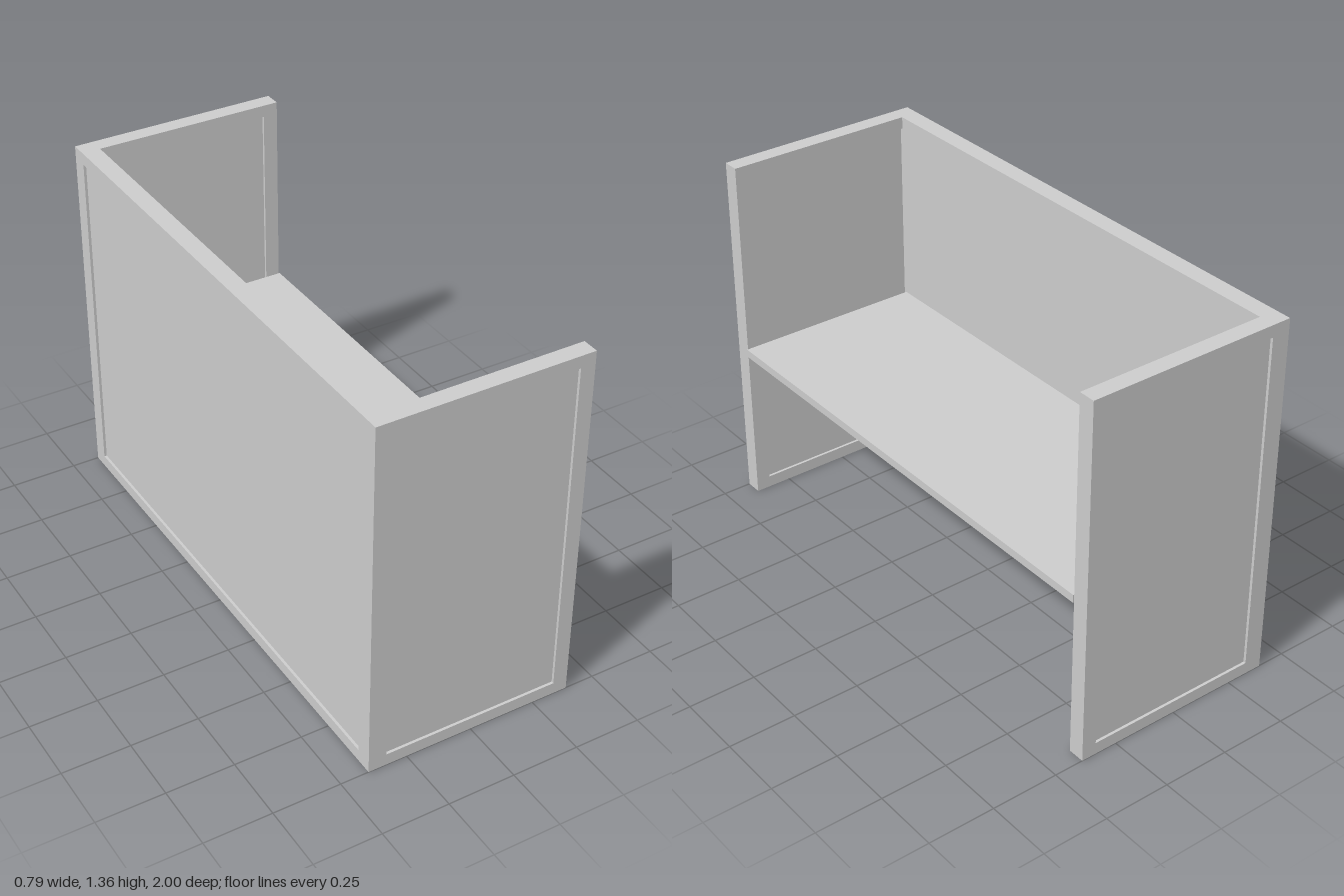
import * as THREE from 'three';

const material = new THREE.MeshStandardMaterial({ color: 0xcccccc, flatShading: true });
const H = 1.36, RAIL = 0.045, RECESS = 0.01;
const BACK = -0.395, FRONT = 0.39, INNER_BACK = -0.327, INNER_Z = 0.938;

// Box given by its minimum and maximum corners
function box(name, [x0, y0, z0], [x1, y1, z1]) {
  const mesh = new THREE.Mesh(new THREE.BoxGeometry(x1 - x0, y1 - y0, z1 - z0), material);
  mesh.name = name;
  mesh.position.set((x0 + x1) / 2, (y0 + y1) / 2, (z0 + z1) / 2);
  return mesh;
}

// Closed rectangle as a shape or hole outline
function rect(target, x0, y0, x1, y1) {
  target.moveTo(x0, y0);
  target.lineTo(x1, y0);
  target.lineTo(x1, y1);
  target.lineTo(x0, y1);
  target.closePath();
  return target;
}

// End wall: a frame with a panel set back on both faces
function endWall(name, z0, z1) {
  const group = new THREE.Group();
  group.name = name;
  const x0 = INNER_BACK, x1 = 0.335;
  const outline = rect(new THREE.Shape(), BACK, 0, FRONT, H);
  outline.holes.push(rect(new THREE.Path(), x0, RAIL, x1, H - RAIL));
  const frame = new THREE.Mesh(
    new THREE.ExtrudeGeometry(outline, { depth: z1 - z0, bevelEnabled: false }), material);
  frame.name = 'endFrame';
  frame.position.z = z0;
  group.add(frame, box('endPanel', [x0, RAIL, z0 + RECESS], [x1, H - RAIL, z1 - RECESS]));
  return group;
}

export function createModel() {
  const model = new THREE.Group();
  model.name = 'deskBooth';

  model.add(endWall('leftEndWall', INNER_Z, 1), endWall('rightEndWall', -1, -INNER_Z));

  // Back wall: plain inside, recessed between rails outside
  const backWall = new THREE.Group();
  backWall.name = 'backWall';
  backWall.add(
    box('backPanel', [BACK + RECESS, RAIL, -INNER_Z], [INNER_BACK, H - RAIL, INNER_Z]),
    box('bottomRail', [BACK, 0, -INNER_Z], [INNER_BACK, RAIL, INNER_Z]),
    box('topRail', [BACK, H - RAIL, -INNER_Z], [INNER_BACK, H, INNER_Z]));
  model.add(backWall);

  // Worktop spans the end walls and stands slightly proud at the open side
  model.add(box('worktop', [INNER_BACK, 0.6, -INNER_Z], [0.394, 0.63, INNER_Z]));
  return model;
}
